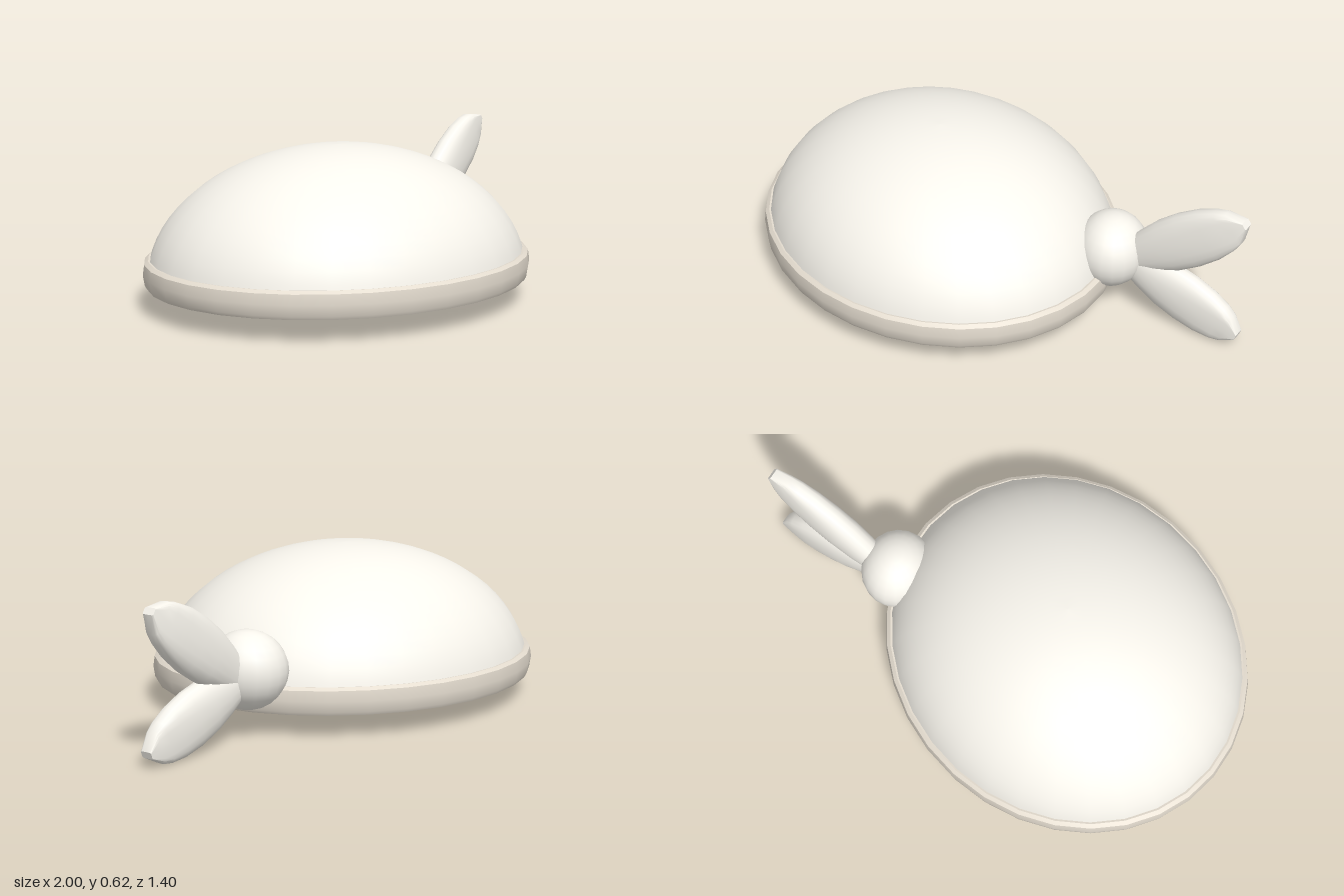
import * as THREE from 'three';
import { toCreasedNormals } from 'three/addons/utils/BufferGeometryUtils.js';

const CENTER_X = -0.202;
const DEPTH = 0.878; // the cap is narrower in z than in x

const cloth = new THREE.MeshStandardMaterial({ color: 0xf7f4ec, side: THREE.DoubleSide });
const trim = new THREE.MeshStandardMaterial({ color: 0xe4dccf, side: THREE.DoubleSide });

const points = (list) => list.map(([r, y]) => new THREE.Vector2(r, y));

// Quarter-ellipse profile from height y0 up to the crown
function domeProfile(rx, ry, yBase, y0, steps = 16) {
  const start = Math.asin((y0 - yBase) / ry);
  const list = [];
  for (let i = 0; i <= steps; i++) {
    const a = start + (Math.PI / 2 - start) * (i / steps);
    list.push([i === steps ? 0 : rx * Math.cos(a), yBase + ry * Math.sin(a)]);
  }
  return points(list);
}

function ovalLathe(name, profile, material, crease) {
  let geometry = new THREE.LatheGeometry(profile, 32);
  geometry.scale(1, 1, DEPTH);
  if (crease) geometry = toCreasedNormals(geometry, 0.5);
  const mesh = new THREE.Mesh(geometry, material);
  mesh.name = name;
  mesh.position.x = CENTER_X;
  return mesh;
}

// Tail sections: position along the axis, half width, half thickness
const TAIL_SECTIONS = [
  [0, 0.07, 0.05], [0.15, 0.092, 0.057], [0.32, 0.11, 0.06], [0.5, 0.115, 0.057],
  [0.68, 0.106, 0.05], [0.82, 0.086, 0.041], [0.9, 0.066, 0.033], [1, 0.014, 0.025],
];

// Leaf shape, oval at the base and turning into a thin squared edge at the tip
function tail(name, base, tip) {
  const axis = tip.clone().sub(base);
  const length = axis.length();
  axis.normalize();
  const sides = 20;
  const position = [];
  const index = [];
  TAIL_SECTIONS.forEach(([t, w, h], row) => {
    const power = 0.9 - 0.6 * t ** 3;
    const round = (v) => Math.sign(v) * Math.abs(v) ** power;
    for (let i = 0; i < sides; i++) {
      const a = (i / sides) * Math.PI * 2;
      position.push(w * round(Math.cos(a)), t * length, h * round(Math.sin(a)));
      if (row === 0) continue;
      const next = (i + 1) % sides;
      const low = (row - 1) * sides;
      const high = row * sides;
      index.push(low + i, high + i, low + next, low + next, high + i, high + next);
    }
  });
  // Close the blunt tip
  const last = (TAIL_SECTIONS.length - 1) * sides;
  for (let i = 1; i < sides - 1; i++) index.push(last, last + i + 1, last + i);

  const geometry = new THREE.BufferGeometry();
  geometry.setAttribute('position', new THREE.Float32BufferAttribute(position, 3));
  geometry.setIndex(index);
  const mesh = new THREE.Mesh(toCreasedNormals(geometry, 0.7), cloth);
  mesh.name = name;
  // Broad side stays upright, thin side points across
  const thin = new THREE.Vector3().crossVectors(axis, new THREE.Vector3(0, 1, 0)).normalize();
  const wide = new THREE.Vector3().crossVectors(axis, thin);
  mesh.quaternion.setFromRotationMatrix(new THREE.Matrix4().makeBasis(wide, axis, thin));
  mesh.position.copy(base);
  return mesh;
}

export function createModel() {
  const model = new THREE.Group();
  model.name = 'headscarf';

  // Crown and its lining
  model.add(ovalLathe('crown', domeProfile(0.782, 0.528, 0.1, 0.17), cloth, false));
  model.add(ovalLathe('lining', domeProfile(0.745, 0.5, 0.1, 0.17), cloth, false));

  // Thick band around the edge
  model.add(ovalLathe('band', points([
    [0.7, 0.094], [0.782, 0.094], [0.79, 0.107], [0.797, 0.15],
    [0.791, 0.19], [0.775, 0.201], [0.7, 0.19], [0.7, 0.094],
  ]), trim, true));

  // Knot at the back left, slightly flattened against the cap
  const knot = new THREE.Mesh(new THREE.SphereGeometry(1, 20, 14), cloth);
  knot.name = 'knot';
  knot.scale.set(0.147, 0.153, 0.16);
  knot.rotation.y = 0.62;
  knot.position.set(0.46, 0.257, -0.357);
  model.add(knot);

  // Loose ends of the scarf
  model.add(tail('upperTail', new THREE.Vector3(0.55, 0.255, -0.405), new THREE.Vector3(0.975, 0.578, -0.57)));
  model.add(tail('lowerTail', new THREE.Vector3(0.55, 0.22, -0.405), new THREE.Vector3(0.992, 0.057, -0.565)));

  return model;
}
